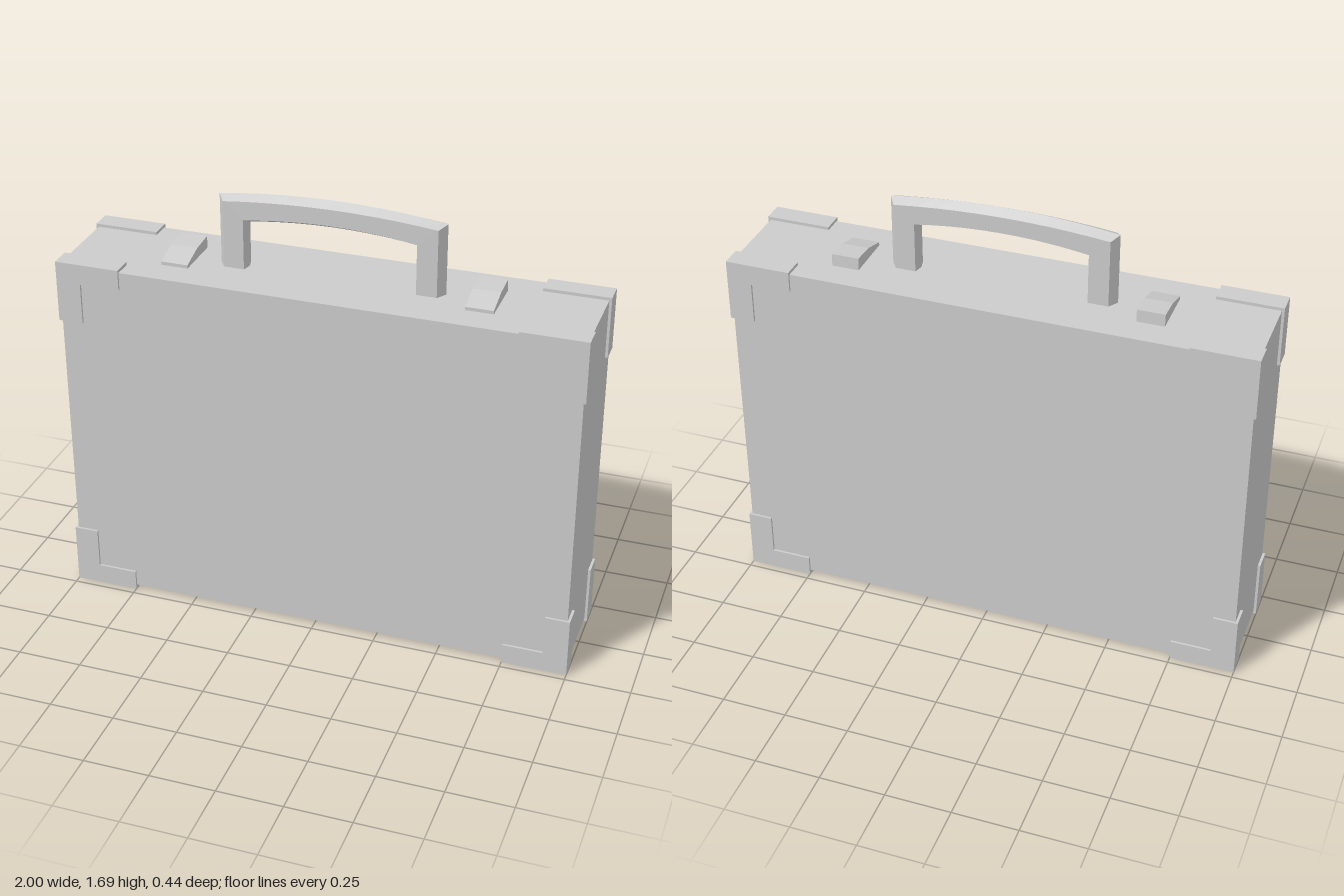
import * as THREE from 'three';

const material = new THREE.MeshStandardMaterial({ color: 0xcccccc, flatShading: true });

function addMesh(group, name, geometry) {
  const mesh = new THREE.Mesh(geometry, material);
  mesh.name = name;
  group.add(mesh);
  return mesh;
}

function extrude(points, depth) {
  const shape = new THREE.Shape(points.map(([x, y]) => new THREE.Vector2(x, y)));
  return new THREE.ExtrudeGeometry(shape, { depth, bevelEnabled: false });
}

// Arched carrying handle: a six-sided section swept up, over and down
function handleGeometry() {
  // each section corner: leg x, height at the bend, height at mid-span, z
  const rails = [
    [0.43, 1.664, 1.694, 0],
    [0.405, 1.65, 1.673, 0.037],
    [0.328, 1.584, 1.61, 0.037],
    [0.319, 1.567, 1.59, 0],
    [0.328, 1.584, 1.61, -0.037],
    [0.405, 1.65, 1.673, -0.037],
  ];
  const base = 1.38, steps = 10, n = rails.length;
  const rings = [rails.map(([x, , , z]) => [-x, base, z])];
  for (let i = 0; i <= steps; i++) {
    const t = -1 + (2 * i) / steps;
    rings.push(rails.map(([x, bend, mid, z]) => [x * t, mid - (mid - bend) * t * t, z]));
  }
  rings.push(rails.map(([x, , , z]) => [x, base, z]));

  const index = [];
  for (let r = 0; r < rings.length - 1; r++) {
    for (let k = 0; k < n; k++) {
      const a = r * n + k, b = r * n + ((k + 1) % n);
      index.push(a, b, a + n, b, b + n, a + n);
    }
  }
  const geometry = new THREE.BufferGeometry();
  geometry.setAttribute('position', new THREE.Float32BufferAttribute(rings.flat(2), 3));
  geometry.setIndex(index);
  const faceted = geometry.toNonIndexed();
  faceted.computeVertexNormals();
  return faceted;
}

export function createModel() {
  const model = new THREE.Group();
  model.name = 'briefcase';

  // Main box
  addMesh(model, 'caseBody', new THREE.BoxGeometry(1.98, 1.375, 0.426)).position.y = 0.7025;

  // L-shaped guards on all eight corners
  const guards = new THREE.Group();
  guards.name = 'cornerGuards';
  model.add(guards);
  const guardOutline = [[1, 0], [1, 0.24], [0.905, 0.24], [0.905, 0.08], [0.75, 0.08], [0.75, 0]];
  for (const side of [-1, 1]) {
    for (const top of [false, true]) {
      for (const face of [-1, 1]) {
        const outline = guardOutline.map(([x, y]) => [side * x, top ? 1.402 - y : y]);
        const guard = addMesh(guards, 'cornerGuard', extrude(outline, 0.083));
        guard.position.z = face > 0 ? 0.139 : -0.222;
      }
    }
  }

  addMesh(model, 'handle', handleGeometry());

  // Wedge latches, low at the front and tall at the back
  const latchProfile = [[-0.1, 1.38], [0.097, 1.38], [0.097, 1.403], [0, 1.43], [-0.097, 1.437]];
  for (const side of [-1, 1]) {
    const geometry = extrude(latchProfile, 0.104);
    geometry.translate(0, 0, -0.052);
    geometry.rotateY(-Math.PI / 2); // profile runs along z
    addMesh(model, side > 0 ? 'leftLatch' : 'rightLatch', geometry).position.x = side * 0.578;
  }

  return model;
}
